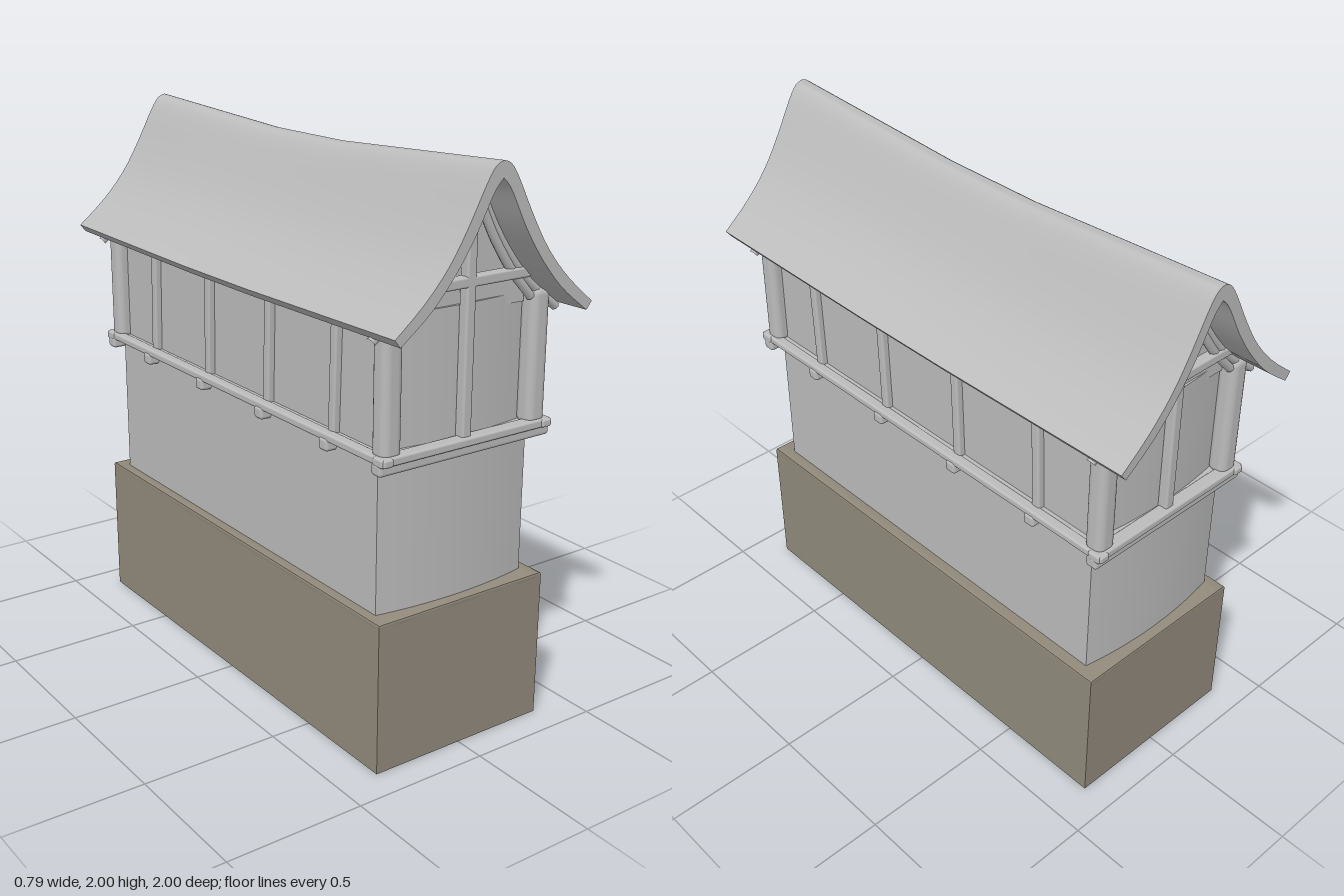
import * as THREE from 'three';
import { toCreasedNormals } from 'three/addons/utils/BufferGeometryUtils.js';
import { RoundedBoxGeometry } from 'three/addons/geometries/RoundedBoxGeometry.js';

const plaster = new THREE.MeshStandardMaterial({ color: 0xbcbcbc });
plaster.name = 'pale grey';
const stone = new THREE.MeshStandardMaterial({ color: 0x918a7c });
stone.name = 'stone brown';

export function createModel() {
  const model = new THREE.Group();

  const add = (name, geometry, material, x = 0, y = 0, z = 0) => {
    const mesh = new THREE.Mesh(geometry, material);
    mesh.name = name;
    mesh.position.set(x, y, z);
    model.add(mesh);
    return mesh;
  };

  // Beam with softened edges, given by its centre and size
  const beam = (name, [x, y, z], [w, h, d], r = 0.008) =>
    add(name, new RoundedBoxGeometry(w, h, d, 3, r), plaster, x, y, z);

  // Plan outline whose short ends bow outwards from depth d by b
  const plan = (w, d, b = 0) => {
    const s = new THREE.Shape();
    s.moveTo(w, -d);
    s.lineTo(w, d);
    s.quadraticCurveTo(0, d + 2 * b, -w, d);
    s.lineTo(-w, -d);
    s.quadraticCurveTo(0, -d - 2 * b, w, -d);
    return s;
  };

  // Raise a plan outline upwards from y = 0
  const raise = (shape, height, options = {}) => {
    const g = new THREE.ExtrudeGeometry(shape, { depth: height, bevelEnabled: false, curveSegments: 16, ...options });
    return toCreasedNormals(g.rotateX(-Math.PI / 2), 0.6);
  };

  // Hollow stone base, open underneath
  const ring = plan(0.35, 0.888);
  ring.holes.push(plan(0.344, 0.882));
  add('baseWalls', raise(ring, 0.53), stone);
  add('baseTop', raise(plan(0.342, 0.88), 0.01, {
    bevelEnabled: true, bevelSize: 0.008, bevelThickness: 0.008, bevelSegments: 2,
  }), stone, 0, 0.522);

  // Lower storey, floor and upper storey walls
  add('lowerWalls', raise(plan(0.31, 0.822, 0.028), 0.54), plaster, -0.004, 0.53);
  add('floor', raise(plan(0.33, 0.87), 0.02), plaster, 0, 1.075);
  add('upperWalls', raise(plan(0.295, 0.815, 0.025), 0.45), plaster, 0, 1.08);

  // Roof curve: one half from ridge to eave, flaring outwards
  const half = [[0, 1.998], [0.03, 1.985], [0.065, 1.935], [0.13, 1.815], [0.2, 1.705], [0.29, 1.605], [0.397, 1.515]];
  const lower = [[0, 1.945], [0.035, 1.905], [0.1, 1.785], [0.175, 1.675], [0.265, 1.575], [0.376, 1.488]];
  const curve = (pts, side) =>
    new THREE.SplineCurve(pts.map(([x, y]) => new THREE.Vector2(x * side, y))).getPoints(18);
  const arch = (pts) => [...curve(pts, -1).reverse(), ...curve(pts, 1).slice(1)];

  // The roof dips towards the middle of its length
  const sag = (g) => {
    const p = g.attributes.position;
    for (let i = 0; i < p.count; i++) {
      const dip = 0.04 * Math.min(1, (1 - Math.abs(p.getZ(i))) / 0.8);
      const share = 0.25 + 0.75 * THREE.MathUtils.clamp((p.getY(i) - 1.5) / 0.5, 0, 1);
      p.setY(i, p.getY(i) - dip * share);
    }
    return toCreasedNormals(g, 0.6);
  };
  const along = (points, length) => new THREE.ExtrudeGeometry(new THREE.Shape(points), {
    depth: length, steps: 10, bevelEnabled: false,
  }).translate(0, 0, -length / 2);
  add('roof', sag(along([...arch(half).reverse(), ...arch(lower)], 1.998)), plaster);

  // Gable walls filling the space beneath the roof
  const gable = arch(lower).filter((v) => Math.abs(v.x) < 0.285).map((v) => new THREE.Vector2(v.x, v.y + 0.008));
  gable.push(new THREE.Vector2(0.285, 1.5), new THREE.Vector2(-0.285, 1.5));
  add('gableWalls', sag(along(gable.reverse(), 1.66)), plaster);

  // Floor joists poking out below the side sills
  for (const z of [0.86, 0.58, 0.2, -0.19, -0.575, -0.86]) {
    beam('joist', [0, 1.062, z], [0.71, 0.045, 0.048], 0.012);
  }

  // Thin leaning studs along each side
  for (const side of [-1, 1]) {
    beam('sideSill', [side * 0.33, 1.087, 0], [0.04, 0.028, 1.8]);
    for (const z of [0.585, 0.205, -0.18, -0.565]) {
      const stud = beam('sideStud', [side * 0.3, 1.315, z], [0.04, 0.45, 0.034]);
      stud.rotation.x = 0.035;
    }
  }

  // Timber framing of both end walls
  for (const end of [-1, 1]) {
    const z = end * 0.858;
    beam('endSill', [0, 1.087, end * 0.868], [0.71, 0.03, 0.05]);
    beam('crossBeam', [0, 1.607, z], [0.5, 0.036, 0.04]);
    beam('kingPost', [0, 1.51, z], [0.038, 0.86, 0.04]);
    for (const side of [-1, 1]) {
      beam('cornerPost', [side * 0.3, 1.315, end * 0.845], [0.078, 0.47, 0.075], 0.028);

      // Curved rafter close under the roof and a second brace inside it
      for (const [name, drop, from, to] of [['rafter', 0.016, 0, 6], ['brace', 0.055, 0, 5]]) {
        const pts = lower.slice(from, to).map(([x, y]) => new THREE.Vector3(x * side, y - drop, z));
        add(name, new THREE.TubeGeometry(new THREE.CatmullRomCurve3(pts), 16, 0.016, 8), plaster);
      }
    }
  }

  return model;
}
